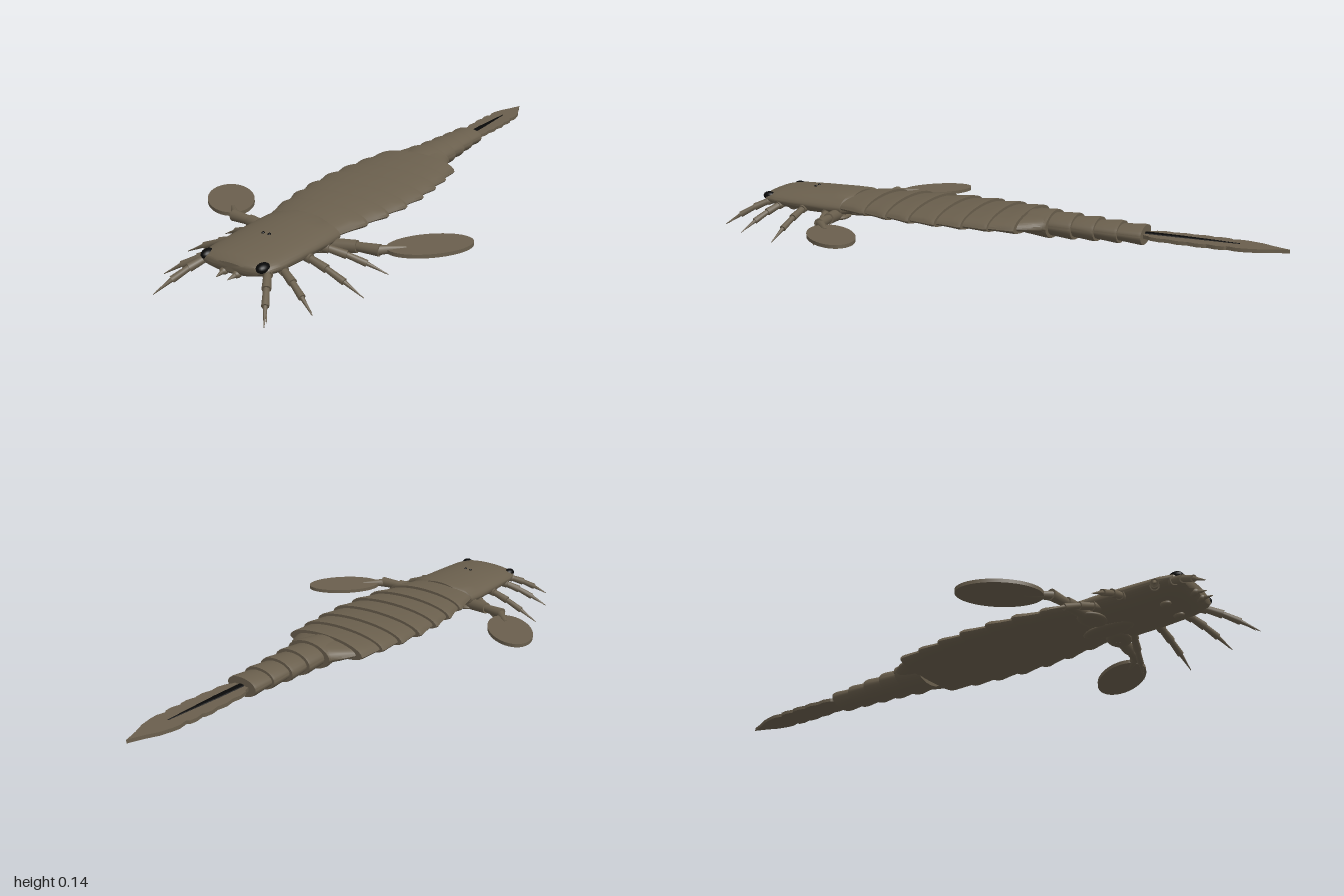
import * as THREE from 'three';
import { toCreasedNormals } from 'three/addons/utils/BufferGeometryUtils.js';

const shell = new THREE.MeshStandardMaterial({ color: 0x6a5f4d });
shell.name = 'olive brown shell';
const black = new THREE.MeshStandardMaterial({ color: 0x080808 });
black.name = 'black';

const V = (x, y, z) => new THREE.Vector3(x, y, z);

// Closed body through lens-shaped sections [z, halfWidth, top, bottom, edgeHeight], front to back
function loft(sections, n = 32) {
  const pos = [], idx = [];
  for (const [z, w, top, bottom, mid] of sections) {
    for (let i = 0; i < n; i++) {
      const a = (i / n) * Math.PI * 2, s = Math.sin(a);
      pos.push(Math.cos(a) * w, mid + s * (s > 0 ? top - mid : mid - bottom), z);
    }
  }
  const last = (sections.length - 1) * n, c = sections.length * n;
  for (const s of [sections[0], sections[sections.length - 1]]) pos.push(0, s[4], s[0]);
  for (let i = 0; i < n; i++) {
    const j = (i + 1) % n;
    for (let k = 0; k < last; k += n) {
      idx.push(k + i, k + n + i, k + j, k + j, k + n + i, k + n + j);
    }
    idx.push(c, i, j, c + 1, last + j, last + i);
  }
  const g = new THREE.BufferGeometry();
  g.setAttribute('position', new THREE.Float32BufferAttribute(pos, 3));
  g.setIndex(idx);
  return toCreasedNormals(g, 0.6);
}

function add(parent, name, geometry, material = shell) {
  const m = new THREE.Mesh(geometry, material);
  m.name = name;
  parent.add(m);
  return m;
}

// Tapered limb piece between two points
function limb(parent, name, a, b, ra, rb) {
  const m = add(parent, name, new THREE.CylinderGeometry(rb, ra, a.distanceTo(b), 12));
  m.position.copy(a).add(b).multiplyScalar(0.5);
  m.quaternion.setFromUnitVectors(V(0, 1, 0), b.clone().sub(a).normalize());
  return m;
}

function ball(parent, name, p, sx, sy, sz, material = shell) {
  const m = add(parent, name, new THREE.SphereGeometry(1, 20, 14), material);
  m.position.copy(p);
  m.scale.set(sx, sy, sz);
  return m;
}

// Flat plate from an outline drawn in x and -z
function plate(shape, thickness, y) {
  const g = new THREE.ExtrudeGeometry(shape, { depth: thickness, bevelEnabled: false, curveSegments: 32 });
  g.rotateX(-Math.PI / 2);
  g.translate(0, y - thickness / 2, 0);
  return toCreasedNormals(g, 0.6);
}

// Walking leg made of four tapering joints and a small spine
function walkingLeg(parent, hip, tip) {
  const leg = new THREE.Group();
  leg.name = 'walkingLeg';
  parent.add(leg);
  const knee = hip.clone().lerp(tip, 0.4);
  knee.y += 0.022;
  const points = new THREE.QuadraticBezierCurve3(hip, knee, tip).getPoints(4);
  const radii = [0.015, 0.0135, 0.011, 0.008];
  for (let i = 0; i < 4; i++) {
    limb(leg, 'legJoint', points[i], points[i + 1], radii[i] * 0.85, i === 3 ? 0.001 : radii[i]);
  }
  limb(leg, 'legSpine', points[3], points[3].clone().lerp(tip, 0.7).add(V(0.008, -0.004, 0)), 0.004, 0.0008);
}

function buildSide(parent) {
  walkingLeg(parent, V(0.09, 0.1, 0.83), V(0.196, 0.008, 0.995));
  walkingLeg(parent, V(0.09, 0.092, 0.79), V(0.266, 0.008, 0.872));
  walkingLeg(parent, V(0.09, 0.092, 0.695), V(0.322, 0.005, 0.702));
  walkingLeg(parent, V(0.09, 0.085, 0.615), V(0.305, 0.01, 0.54));

  // Swimming arm and paddle
  const arm = new THREE.Group();
  arm.name = 'swimmingArm';
  parent.add(arm);
  limb(arm, 'armBase', V(0.08, 0.07, 0.57), V(0.2, 0.078, 0.545), 0.022, 0.02);
  limb(arm, 'armMiddle', V(0.19, 0.078, 0.546), V(0.272, 0.078, 0.535), 0.014, 0.019);
  limb(arm, 'armWrist', V(0.262, 0.077, 0.537), V(0.325, 0.075, 0.475), 0.016, 0.008);
  const oval = new THREE.Shape().absellipse(0, 0, 0.135, 0.076, 0, Math.PI * 2);
  const paddle = add(arm, 'paddle', plate(oval, 0.012, 0));
  paddle.position.set(0.376, 0.074, 0.42);
  paddle.rotation.y = 0.82;

  // Flattened hip plate under the head
  const hip = ball(parent, 'hipPlate', V(0.085, 0.062, 0.57), 0.055, 0.013, 0.04);
  hip.rotation.y = 0.3;

  ball(parent, 'eye', V(0.098, 0.108, 0.865), 0.018, 0.015, 0.024, black);
  ball(parent, 'simpleEye', V(0.011, 0.139, 0.72), 0.005, 0.004, 0.006, black);

  // Small feeding claws
  ball(parent, 'clawBase', V(0.023, 0.081, 0.885), 0.013, 0.012, 0.016);
  limb(parent, 'clawTip', V(0.023, 0.081, 0.888), V(0.02, 0.077, 0.925), 0.009, 0.001);
  ball(parent, 'mouthKnob', V(0.045, 0.06, 0.8), 0.013, 0.01, 0.018);
}

export function createModel() {
  const model = new THREE.Group();
  model.name = 'seaScorpion';

  // Head shield
  add(model, 'headShield', loft([
    [0.892, 0.06, 0.113, 0.085, 0.1], [0.885, 0.1, 0.12, 0.077, 0.1], [0.865, 0.12, 0.128, 0.07, 0.1],
    [0.82, 0.13, 0.135, 0.062, 0.098], [0.72, 0.135, 0.139, 0.055, 0.097], [0.6, 0.139, 0.142, 0.055, 0.096],
    [0.54, 0.137, 0.142, 0.06, 0.096], [0.525, 0.1, 0.141, 0.065, 0.096],
  ], 40));
  ball(model, 'bellyPlate', V(0, 0.058, 0.58), 0.04, 0.012, 0.09);

  // Broad back segments, each flaring over the next: [zFront, widthFront, zBack, widthBack]
  const broad = [
    [0.56, 0.128, 0.425, 0.163], [0.44, 0.148, 0.33, 0.181], [0.345, 0.162, 0.235, 0.191],
    [0.25, 0.171, 0.135, 0.193], [0.15, 0.172, 0.04, 0.186], [0.055, 0.167, -0.05, 0.174],
    [-0.035, 0.16, -0.14, 0.158], [-0.125, 0.138, -0.225, 0.09],
  ];
  broad.forEach(([z0, w0, z1, w1]) => add(model, 'backSegment', loft([
    [z0, w0, 0.132, 0.08, 0.1], [z0 * 0.4 + z1 * 0.6, w0 * 0.4 + w1 * 0.6, 0.139, 0.076, 0.1],
    [z1 + 0.012, w1, 0.143, 0.073, 0.1], [z1, w1 * 0.99, 0.143, 0.074, 0.1],
  ])));

  // Narrow tail rings
  const rings = [
    [-0.135, 0.07, -0.225, 0.088], [-0.215, 0.066, -0.305, 0.075], [-0.295, 0.06, -0.382, 0.07],
    [-0.372, 0.056, -0.46, 0.064], [-0.45, 0.053, -0.54, 0.06],
  ];
  rings.forEach(([z0, w0, z1, w1], i) => {
    const top = 0.146 - i * 0.004, bottom = 0.053 + i * 0.003;
    add(model, 'tailRing', loft([
      [z0, w0, top - 0.007, bottom + 0.007, 0.1], [z1 + 0.01, w1, top, bottom, 0.1],
      [z1, w1 * 0.98, top - 0.001, bottom + 0.001, 0.1],
    ], 28));
  });

  // Flat tail spine with scalloped edges
  const edge = [[0.53, 0.025], [0.56, 0.036]];
  for (let i = 0; i < 5; i++) {
    const z = 0.565 + i * 0.062, w = [0.046, 0.05, 0.052, 0.051, 0.047][i];
    edge.push([z, w - 0.004], [z + 0.03, w + 0.003], [z + 0.056, w]);
  }
  edge.push([0.91, 0.037], [0.95, 0.018], [0.985, 0.005]);
  const outline = new THREE.Shape([
    ...edge.map(([z, w]) => new THREE.Vector2(w, z)), new THREE.Vector2(0, 1),
    ...edge.slice().reverse().map(([z, w]) => new THREE.Vector2(-w, z)),
  ]);
  add(model, 'tailSpine', plate(outline, 0.012, 0.097));

  // Dark raised ridge along the tail spine
  add(model, 'tailRidge', loft([
    [-0.53, 0.012, 0.108, 0.1, 0.102], [-0.65, 0.011, 0.108, 0.1, 0.102],
    [-0.75, 0.006, 0.107, 0.1, 0.102], [-0.845, 0.002, 0.105, 0.1, 0.102],
  ], 10), black);

  // Paired limbs, eyes and claws, mirrored by building geometry on both sides
  for (const side of [1, -1]) {
    const half = new THREE.Group();
    half.name = side > 0 ? 'leftLimbs' : 'rightLimbs';
    buildSide(half);
    half.scale.x = side;
    model.add(half);
  }
  return model;
}
